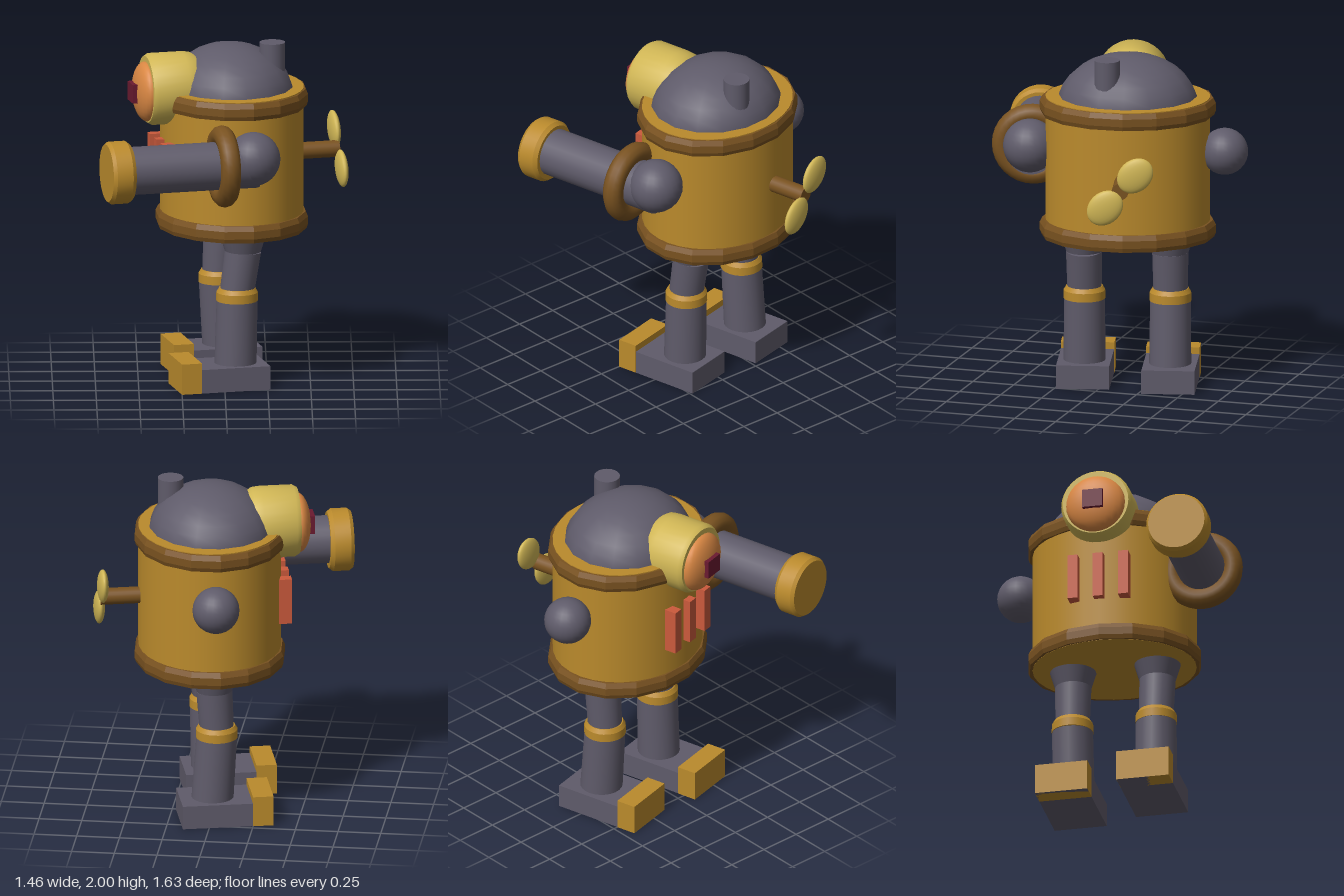
import * as THREE from 'three';
import { toCreasedNormals } from 'three/addons/utils/BufferGeometryUtils.js';

const paint = (name, color) => {
  const m = new THREE.MeshStandardMaterial({ color });
  m.name = name;
  return m;
};

export function createModel() {
  const grey = paint('slate grey', 0x5f5b6a);
  const gold = paint('dark gold', 0xba8a2c);
  const brown = paint('bronze brown', 0x795220);
  const yellow = paint('pale brass', 0xd0b655);
  const orange = paint('lens orange', 0xd98743);
  const maroon = paint('pupil maroon', 0x6b1a30);
  const red = paint('grille red', 0xcb5a3c);
  const rimBrown = brown.clone();
  rimBrown.flatShading = true;

  const root = new THREE.Group();
  root.name = 'robot';
  // the robot's own frame: it faces -x, its sides are +z and -z
  const bot = new THREE.Group();
  bot.name = 'turnedRobot';
  bot.position.set(0.045, 0, -0.13);
  bot.rotation.y = 0.244;
  root.add(bot);

  const add = (name, geo, mat, x = 0, y = 0, z = 0) => {
    const m = new THREE.Mesh(geo, mat);
    m.name = name;
    m.position.set(x, y, z);
    bot.add(m);
    return m;
  };
  // turned shape from [radius, height] pairs
  const turned = (pts, seg = 32) => toCreasedNormals(
    new THREE.LatheGeometry(pts.map(p => new THREE.Vector2(p[0], p[1])), seg), 0.6);
  const ball = (r, w = 24, h = 16) => new THREE.SphereGeometry(r, w, h);
  const box = (x, y, z) => new THREE.BoxGeometry(x, y, z);
  // tapered cylinder from a to b
  const strut = (name, a, b, ra, rb, mat) => {
    const d = b.clone().sub(a);
    const mid = a.clone().add(b).multiplyScalar(0.5);
    const m = add(name, new THREE.CylinderGeometry(rb, ra, d.length(), 24), mat, mid.x, mid.y, mid.z);
    m.quaternion.setFromUnitVectors(new THREE.Vector3(0, 1, 0), d.normalize());
  };

  // oval drum body with rims
  add('body', new THREE.CylinderGeometry(1, 1, 0.835, 32), gold, 0, 1.3175, 0).scale.set(0.415, 1, 0.48);
  for (const [name, y] of [['topRim', 1.63], ['bottomRim', 0.9]]) {
    const rim = turned([[0.93, 0.002], [0.98, 0], [1, 0.025], [1, 0.07], [0.97, 0.1], [0.93, 0.1], [0.93, 0.002]], 16);
    add(name, rim, rimBrown, 0, y, 0).scale.set(0.44, 1, 0.514);
  }

  // domed head and chimney
  const dome = new THREE.SphereGeometry(1, 16, 8, 0, Math.PI * 2, 0, Math.PI / 2);
  add('dome', dome, grey, -0.01, 1.68, 0).scale.set(0.37, 0.305, 0.41);
  add('chimney', new THREE.CylinderGeometry(0.075, 0.075, 0.2, 20), grey, 0.216, 1.9, 0.105);

  // eye
  const socket = turned([[0, 0.2], [0.17, 0.2], [0.205, 0.25], [0.21, 0.3], [0.21, 0.49], [0.195, 0.515], [0, 0.515]]);
  add('eyeSocket', socket, yellow, 0, 1.738, 0).rotation.z = Math.PI / 2;
  add('eyeLens', ball(1), orange, -0.515, 1.725, 0).scale.set(0.075, 0.175, 0.175);
  add('pupil', box(0.04, 0.11, 0.12), maroon, -0.59, 1.725, 0);

  // chest grille bars
  for (const z of [-0.15, 0, 0.15]) add('grilleBar', box(0.09, 0.275, 0.06), red, -0.415, 1.3025, z);

  // shoulders and cannon arm
  add('gunShoulder', ball(0.157), grey, -0.02, 1.42, 0.572);
  add('plainShoulder', ball(0.137), grey, 0.035, 1.42, -0.567);
  strut('gunBarrel', new THREE.Vector3(0, 1.39, 0.567), new THREE.Vector3(-0.78, 1.39, 0.567), 0.14, 0.14, grey);
  add('gunRing', new THREE.TorusGeometry(0.18, 0.06, 12, 32), brown, -0.2, 1.385, 0.567).rotation.y = Math.PI / 2;
  const muzzle = turned([[0, 0.762], [0.165, 0.762], [0.183, 0.785], [0.183, 0.88], [0.168, 0.9], [0, 0.9]]);
  add('gunMuzzle', muzzle, gold, 0, 1.385, 0.565).rotation.z = Math.PI / 2;

  // wind-up key on the back
  strut('keyShaft', new THREE.Vector3(0.38, 1.318, 0), new THREE.Vector3(0.64, 1.318, 0), 0.049, 0.049, brown);
  for (const s of [-1, 1]) {
    const lobe = add('keyLobe', ball(1), yellow, 0.637, 1.318 - s * 0.098, s * 0.088);
    lobe.scale.set(0.032, 0.116, 0.094);
    lobe.rotation.x = -Math.PI / 4;
  }

  // legs: forward offsets at hip, knee, ankle and foot
  const legs = [
    { z: 0.255, hip: 0, knee: 0.035, ankle: 0.045, foot: 0.14 },
    { z: -0.248, hip: -0.005, knee: 0.01, ankle: -0.015, foot: 0.057 },
  ];
  for (const { z, hip, knee, ankle, foot } of legs) {
    const at = (f, y) => new THREE.Vector3(-f, y, z);
    strut('hip', at(hip, 0.8), at(hip, 0.905), 0.105, 0.137, grey);
    strut('thigh', at(knee, 0.56), at(hip, 0.805), 0.1, 0.106, grey);
    strut('kneeBand', at(knee, 0.51), at(knee, 0.56), 0.122, 0.121, gold);
    strut('kneeBevel', at(knee, 0.56), at(knee, 0.585), 0.121, 0.106, gold);
    strut('shin', at(ankle, 0.13), at(knee, 0.515), 0.123, 0.119, grey);
    add('foot', box(0.53, 0.14, 0.31), grey, -foot, 0.07, z);
    add('toeCap', box(0.12, 0.18, 0.312), gold, -foot - 0.206, 0.09, z);
  }
  return root;
}
